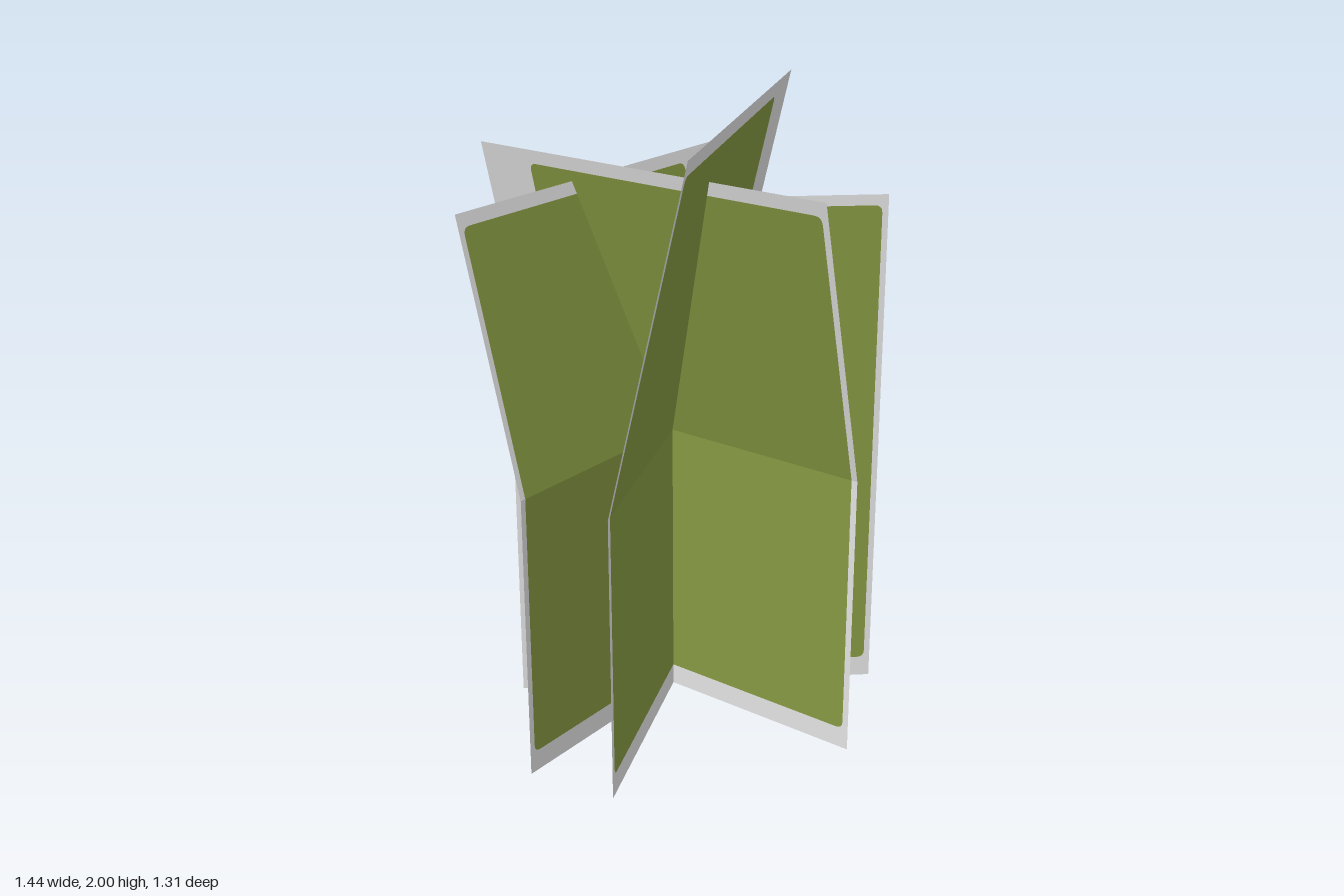
import * as THREE from 'three';

const BEND = 0.94; // height at which the leaning sheets fold

// Each sheet: base line from start to end (x, z), lean of the top edge (x, z), top height, top of the green panel
const SHEETS = [
  { name: 'wideSheet', start: [-0.665, 0.22], end: [0.615, -0.34], lean: [0.105, 0.21], top: 2.0, green: 1.95 },
  { name: 'backSheet', start: [-0.72, -0.07], end: [0.515, -0.08], lean: [-0.005, -0.21], top: 1.775, green: 1.735 },
  { name: 'sideSheet', start: [0.01, 0.635], end: [-0.01, -0.655], lean: [-0.238, 0.015], top: 1.855, green: 1.81 },
  { name: 'uprightSheet', start: [0.46, 0.43], end: [-0.35, -0.45], lean: [0, 0], top: 1.71, green: 1.675 },
];

// Appends the green panel's outline: up from the fold, round two corners, back to the fold
function tracePanel(shape, a, b, inner) {
  const r = 0.025;
  const step = Math.sign(inner - BEND) * r;
  shape.lineTo(a, inner - step);
  shape.quadraticCurveTo(a, inner, a + r, inner);
  shape.lineTo(b - r, inner);
  shape.quadraticCurveTo(b, inner, b, inner - step);
  shape.lineTo(b, BEND);
}

export function createModel() {
  const borderMat = new THREE.MeshStandardMaterial({ color: 0xe2e2e2, side: THREE.DoubleSide });
  borderMat.name = 'paleGrey';
  const greenMat = new THREE.MeshStandardMaterial({ color: 0x859841, side: THREE.DoubleSide });
  greenMat.name = 'oliveGreen';

  const model = new THREE.Group();
  model.name = 'crossedSheets';

  for (const { name, start, end, lean, top, green } of SHEETS) {
    const sheet = new THREE.Group();
    sheet.name = name;
    const dx = end[0] - start[0], dz = end[1] - start[1];
    const width = Math.hypot(dx, dz);
    const a = width * 0.016, b = width * 0.85; // green panel edges along the width

    // Stands a flat shape up on the base line and tilts everything above the fold
    const addPart = (shape, material, partName) => {
      const geometry = new THREE.ShapeGeometry(shape, 4);
      const p = geometry.attributes.position;
      for (let i = 0; i < p.count; i++) {
        const u = p.getX(i) / width, y = p.getY(i);
        const k = Math.max(0, (y - BEND) / (top - BEND));
        p.setXYZ(i, start[0] + dx * u + lean[0] * k, y, start[1] + dz * u + lean[1] * k);
      }
      geometry.computeVertexNormals();
      const mesh = new THREE.Mesh(geometry, material);
      mesh.name = partName;
      sheet.add(mesh);
    };

    // Lower and upper halves meet at the fold
    for (const [half, outer, inner] of [['lower', 0, 0.07], ['upper', top, green]]) {
      const panel = new THREE.Shape();
      panel.moveTo(a, BEND);
      tracePanel(panel, a, b, inner);
      addPart(panel, greenMat, half + 'Panel');

      const border = new THREE.Shape();
      border.moveTo(0, BEND);
      border.lineTo(a, BEND);
      tracePanel(border, a, b, inner);
      border.lineTo(width, BEND);
      border.lineTo(width, outer);
      border.lineTo(0, outer);
      addPart(border, borderMat, half + 'Border');
    }
    model.add(sheet);
  }
  return model;
}
